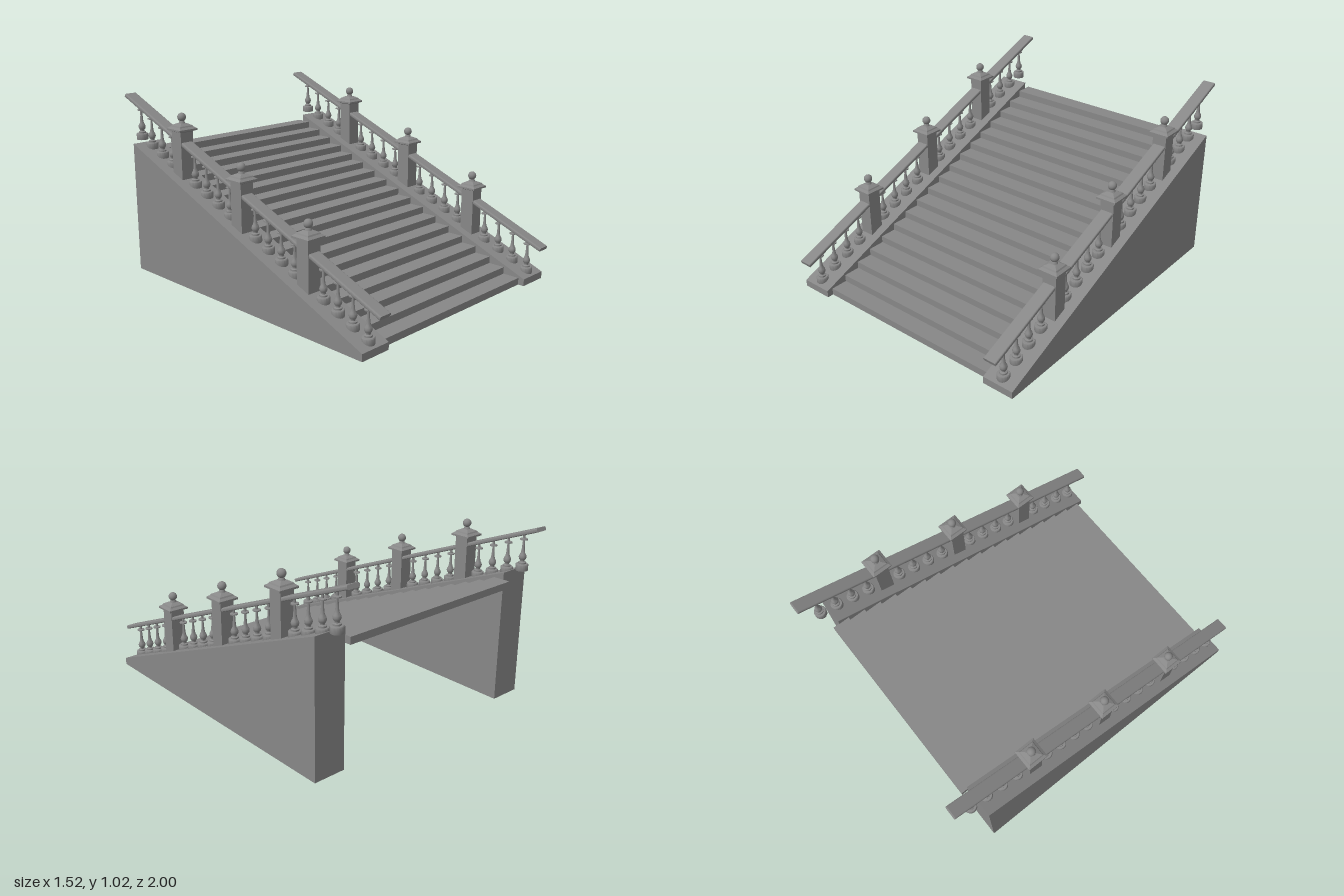
import * as THREE from 'three';
import { toCreasedNormals } from 'three/addons/utils/BufferGeometryUtils.js';

const SLOPE = 0.4015;
const RAIL_X = 0.67;
const STONE = 0x878787;

export function createModel() {
  const root = new THREE.Group();
  root.name = 'staircase';
  const mat = new THREE.MeshStandardMaterial({ color: STONE });
  const thin = new THREE.MeshStandardMaterial({ color: STONE, side: THREE.DoubleSide });

  const add = (parent, name, geo, x = 0, y = 0, z = 0, material = mat) => {
    const mesh = new THREE.Mesh(geo, material);
    mesh.name = name;
    mesh.position.set(x, y, z);
    parent.add(mesh);
  };
  const profile = (points) => points.map(([r, y]) => new THREE.Vector2(r, y));

  // Steps: a flight of slabs, open underneath
  const COUNT = 18, RISE = 0.0397, RUN = 0.0994;
  const stepGeo = new THREE.BoxGeometry(1.16, RISE, RUN);
  for (let i = 0; i < COUNT; i++) {
    add(root, 'step', stepGeo, 0, (i + 0.5) * RISE, 0.904 - (i + 0.5) * RUN);
  }

  // Side wall: wedge shell, open at the bottom
  const outline = [[0.94, 0], [0.94, 0.04], [-0.847, 0.755], [-0.847, 0]];
  const wallPositions = [];
  for (const x of [-0.0925, 0.0925]) for (const [z, y] of outline) wallPositions.push(x, y, z);
  const wallIndex = [0, 1, 2, 0, 2, 3, 4, 6, 5, 4, 7, 6];
  for (let i = 0; i < 3; i++) wallIndex.push(i, i + 4, i + 5, i, i + 5, i + 1);
  const indexed = new THREE.BufferGeometry();
  indexed.setAttribute('position', new THREE.Float32BufferAttribute(wallPositions, 3));
  indexed.setIndex(wallIndex);
  const wallGeo = indexed.toNonIndexed();
  wallGeo.computeVertexNormals();

  // Handrail: flat bar with rounded long edges
  const w = 0.038, t = 0.011, r = 0.009;
  const section = new THREE.Shape();
  section.moveTo(-w + r, -t);
  section.lineTo(w - r, -t);
  section.quadraticCurveTo(w, -t, w, -t + r);
  section.lineTo(w, t - r);
  section.quadraticCurveTo(w, t, w - r, t);
  section.lineTo(-w + r, t);
  section.quadraticCurveTo(-w, t, -w, t - r);
  section.lineTo(-w, -t + r);
  section.quadraticCurveTo(-w, -t, -w + r, -t);
  const railLength = 2.146;
  const railGeo = new THREE.ExtrudeGeometry(section, { depth: railLength, bevelEnabled: false, curveSegments: 4 });
  railGeo.translate(0, 0, -railLength / 2);
  railGeo.rotateX(Math.atan(SLOPE));

  // Baluster: turned profile with a drum base, small bulb, thin stem and collar
  const balusterGeo = toCreasedNormals(new THREE.LatheGeometry(profile([
    [0, 0], [0.033, 0], [0.034, 0.004], [0.034, 0.033], [0.031, 0.037], [0.021, 0.038],
    [0.021, 0.046], [0.012, 0.05], [0.012, 0.056], [0.018, 0.064], [0.021, 0.075],
    [0.018, 0.086], [0.012, 0.097], [0.009, 0.112], [0.007, 0.14], [0.006, 0.166],
    [0.021, 0.17], [0.021, 0.176], [0.007, 0.179], [0.007, 0.21], [0, 0.21],
  ]), 16), 0.7);

  // Newel post parts: square shaft, moulded square cap and ball finial
  const shaftGeo = new THREE.BoxGeometry(0.082, 0.275, 0.082);
  const capGeo = new THREE.LatheGeometry(profile([
    [0, 0], [0.041, 0], [0.047, 0.004], [0.059, 0.007], [0.059, 0.017],
    [0.045, 0.027], [0.041, 0.034], [0.018, 0.046], [0, 0.046],
  ].map(([x, y]) => [x * Math.SQRT2, y])), 4).toNonIndexed();
  capGeo.rotateY(Math.PI / 4);
  capGeo.computeVertexNormals();
  const neckGeo = new THREE.CylinderGeometry(0.012, 0.02, 0.02, 16);
  const ballGeo = new THREE.SphereGeometry(0.024, 20, 14);

  for (const side of [-1, 1]) {
    const flank = new THREE.Group();
    flank.name = side > 0 ? 'leftBalustrade' : 'rightBalustrade';
    flank.position.x = side * RAIL_X;
    root.add(flank);

    add(flank, 'sideWall', wallGeo, 0, 0, 0, thin);
    add(flank, 'handrail', railGeo, 0, 0.612, 0);

    for (const z of [0.495, 0, -0.5]) {
      const post = new THREE.Group();
      post.name = 'newelPost';
      post.position.set(0, 0.665 - z * 0.397, z);
      flank.add(post);
      add(post, 'postShaft', shaftGeo, 0, -0.1345, 0);
      add(post, 'postCap', capGeo);
      add(post, 'finialNeck', neckGeo, 0, 0.052, 0);
      add(post, 'finialBall', ballGeo, 0, 0.079, 0);
    }

    // Four balusters in each bay
    for (const start of [0.893, 0.397, -0.1, -0.597]) {
      for (let i = 0; i < 4; i++) {
        const z = start - i * 0.0985;
        add(flank, 'baluster', balusterGeo, 0, 0.404 - z * SLOPE, z);
      }
    }
  }
  return root;
}
